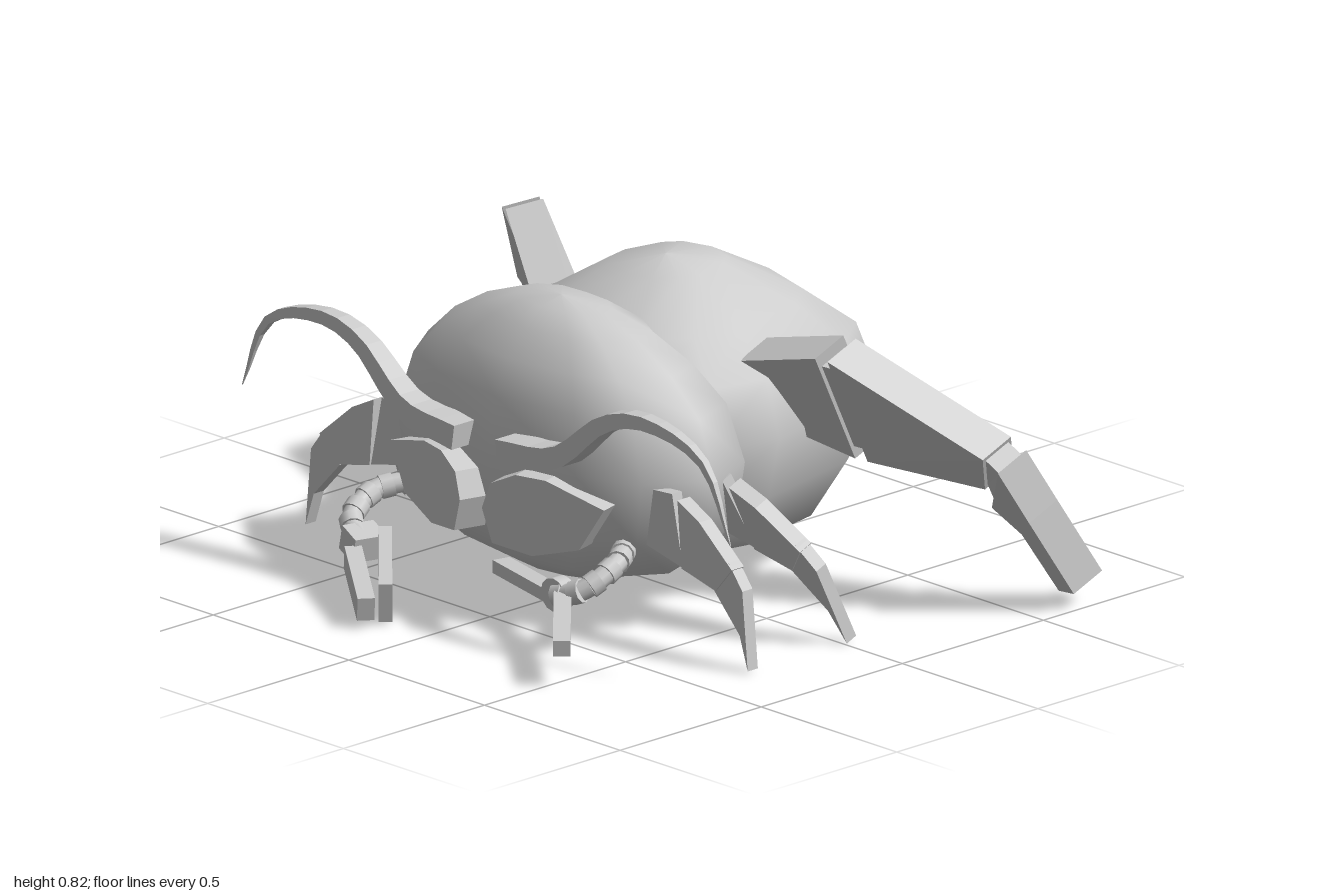
import * as THREE from 'three';

const MID = -0.028; // symmetry axis of the body
const material = new THREE.MeshStandardMaterial({ color: 0xcccccc });
const vec = (p) => new THREE.Vector3(...p);

function add(parent, name, geometry) {
  const mesh = new THREE.Mesh(geometry, material);
  mesh.name = name;
  parent.add(mesh);
  return mesh;
}

function addGroup(parent, name) {
  const group = new THREE.Group();
  group.name = name;
  parent.add(group);
  return group;
}

// Skin a row of equal-length rings, cap both ends and face outward
function loft(rings, smooth = false) {
  const n = rings[0].length;
  const v = rings.flat();
  const idx = [];
  for (let r = 0; r < rings.length - 1; r++) {
    for (let i = 0; i < n; i++) {
      const a = r * n + i, b = r * n + (i + 1) % n;
      idx.push(a, b, b + n, a, b + n, a + n);
    }
  }
  const last = (rings.length - 1) * n;
  for (let i = 1; i < n - 1; i++) idx.push(0, i + 1, i, last, last + i, last + i + 1);
  let volume = 0;
  for (let i = 0; i < idx.length; i += 3) {
    volume += v[idx[i]].dot(v[idx[i + 1]].clone().cross(v[idx[i + 2]]));
  }
  if (volume < 0) idx.reverse();
  let g = new THREE.BufferGeometry().setFromPoints(v);
  g.setIndex(idx);
  if (!smooth) g = g.toNonIndexed();
  g.computeVertexNormals();
  return g;
}

// Body shell: half a plan outline, mirrored, scaled at each [y, scale] level;
// back(scale) flattens the rear
function shell(cz, half, levels, back) {
  const mirrored = half.slice(1, -1).reverse().map(([x, z]) => [-x, z]);
  const outline = [...half, ...mirrored];
  return loft(levels.map(([y, s]) =>
    outline.map(([x, z]) => vec([MID + x * s, y, cz + Math.max(z * s, back(s))]))), true);
}

// Leg cross-section: centre and size, sheared along the leg's down and across directions
function section([x, y, z, size], down, across, spread) {
  return [[-1, 1], [-1, -1], [1, -1], [1, 1]].map(([d, a]) =>
    vec([x, y, z]).addScaledVector(down, d * size / 2).addScaledVector(across, -a / 2)
      .add(vec([-spread * d * Math.sign(x), 0, 0])));
}

// Straight square bar between two points
function bar(parent, name, a, b, w, h) {
  const p = vec(a), q = vec(b);
  const mesh = add(parent, name, new THREE.BoxGeometry(w, h, p.distanceTo(q)));
  mesh.position.copy(p).lerp(q, 0.5);
  mesh.lookAt(q);
}

// Flat plate from a front outline, mirrored by side
function plate(points, side, depth) {
  const shape = new THREE.Shape(points.map(([x, y]) => new THREE.Vector2(x * side, y)));
  const g = new THREE.ExtrudeGeometry(shape, { depth, bevelEnabled: false });
  return g.translate(0, 0, -depth / 2);
}

// Ringed arm along a curve, made of alternating wide and narrow collars
function ringedArm(parent, points) {
  const curve = new THREE.CatmullRomCurve3(points.map(vec));
  const count = 11;
  for (let i = 0; i < count; i++) {
    const a = curve.getPointAt(i / count), b = curve.getPointAt((i + 1) / count);
    const r = i % 2 ? 0.027 : 0.032;
    const mesh = add(parent, 'armRing', new THREE.CylinderGeometry(r, r, a.distanceTo(b) * 1.2, 10));
    mesh.position.copy(a).lerp(b, 0.5);
    mesh.quaternion.setFromUnitVectors(vec([0, 1, 0]), b.clone().sub(a).normalize());
  }
}

// Antenna tapering to a point along a curve
function antenna(curve, side) {
  const rings = [];
  for (let i = 0; i <= 18; i++) {
    const t = i / 18, p = curve.getPointAt(t), d = curve.getTangentAt(t);
    const h = 0.033 * (1 - t) ** 0.8 + 0.001, w = 0.042 * (1 - t) + 0.001;
    rings.push([[1, 1], [1, -1], [-1, -1], [-1, 1]].map(([u, k]) =>
      vec([MID + side * (p.x - d.y * h * u), p.y + d.x * h * u, p.z + w * k])));
  }
  return loft(rings);
}

// Large hind leg: thigh, shin and broad-topped foot with narrow pegs between them
function hindLeg(parent, down, across, sections) {
  const leg = addGroup(parent, 'hindLeg');
  const quads = sections.map((s, i) => section(s, vec(down), vec(across), i === 4 ? 0.055 : 0.03));
  add(leg, 'thigh', loft(quads.slice(0, 2)));
  add(leg, 'shin', loft(quads.slice(2, 4)));
  add(leg, 'foot', loft(quads.slice(4)));
  const shrink = (quad) => {
    const c = quad.reduce((sum, p) => sum.addScaledVector(p, 0.25), vec([0, 0, 0]));
    return quad.map((p) => p.clone().lerp(c, 0.2));
  };
  add(leg, 'knee', loft([shrink(quads[1]), shrink(quads[2])]));
  add(leg, 'ankle', loft([shrink(quads[3]), shrink(quads[4])]));
}

export function createModel() {
  const model = new THREE.Group();
  model.name = 'beetle';

  // Abdomen, and thorax with a flattened back
  add(model, 'abdomen', shell(-0.15,
    [[0, -0.56], [0.28, -0.48], [0.39, -0.33], [0.47, 0.05], [0.43, 0.25], [0.28, 0.44], [0, 0.5]],
    [[0.825, 0], [0.805, 0.29], [0.7, 0.65], [0.6, 0.9], [0.45, 1], [0.28, 0.91], [0.13, 0.73], [0.07, 0.36], [0.055, 0]],
    () => -1));
  add(model, 'thorax', shell(0.22,
    [[0, 0.26], [0.28, 0.22], [0.45, 0.15], [0.555, -0.01], [0.5, -0.17], [0.3, -0.3], [0, -0.32]],
    [[0.8, 0], [0.785, 0.28], [0.74, 0.5], [0.67, 0.72], [0.58, 0.9], [0.43, 1], [0.26, 0.95], [0.14, 0.7], [0.08, 0.32], [0.068, 0]],
    (s) => -0.11 - 0.06 * s));

  const eye = [[0.03, 0.31], [0.055, 0.38], [0.13, 0.415], [0.22, 0.415], [0.395, 0.365], [0.32, 0.245], [0.18, 0.205], [0.06, 0.22]];
  const upperLeg = [[0.4, 0.41], [0.535, 0.42], [0.575, 0.23], [0.4, 0.27]];
  const lowerLeg = [[0.56, 0.41], [0.64, 0.37], [0.76, 0.27], [0.7, 0.2], [0.575, 0.23]];
  const foot = [[0.745, 0.285], [0.795, 0.22], [0.815, 0.01], [0.785, 0.1], [0.69, 0.2]];
  const feeler = new THREE.CatmullRomCurve3(
    [[0.08, 0.465], [0.28, 0.495], [0.46, 0.63], [0.6, 0.66], [0.8, 0.6], [0.9, 0.4]].map(([x, y]) => vec([x, y, 0.485])));

  for (const side of [1, -1]) {
    // Eye plates, turned to follow the face
    const eyePlate = add(model, 'eye', plate(eye, side, 0.09));
    eyePlate.position.set(MID, 0, 0.505);
    eyePlate.rotation.y = side * 0.26;

    add(model, 'antenna', antenna(feeler, side));

    // Two pairs of flat walking legs, the second leaning back
    for (const [z, lean] of [[0.325, 0], [0.14, 0.4]]) {
      const leg = addGroup(model, 'walkingLeg');
      add(leg, 'upperLeg', plate(upperLeg, side, 0.034));
      add(leg, 'lowerLeg', plate(lowerLeg, side, 0.044));
      add(leg, 'foot', plate(foot, side, 0.036));
      for (const part of leg.children) part.position.y = -0.4;
      leg.position.set(MID, 0.4, z);
      leg.rotation.x = lean;
      leg.scale.y = 1 / Math.cos(lean);
    }
  }

  // Hind legs, the right one swung further back: x, y, z and size from hip to tip
  hindLeg(model, [0, -0.33, -0.2], [0, 0.04, -0.1], [
    [0.3, 0.57, -0.17, 0.55], [0.56, 0.56, -0.235, 1],
    [0.59, 0.555, -0.25, 1], [0.895, 0.415, -0.44, 0.33],
    [0.92, 0.375, -0.455, 0.42], [0.96, 0.265, -0.525, 0.16], [0.97, 0.065, -0.66, 0.02]]);
  hindLeg(model, [0, -0.355, -0.13], [0.05, 0.02, -0.085], [
    [-0.36, 0.57, -0.12, 0.55], [-0.665, 0.585, -0.355, 1],
    [-0.695, 0.58, -0.37, 1], [-0.91, 0.42, -0.58, 0.2],
    [-0.92, 0.38, -0.625, 0.4], [-0.94, 0.255, -0.69, 0.16], [-0.92, 0.065, -0.78, 0.02]]);

  // Left pincer, held wide open
  const left = addGroup(model, 'leftPincer');
  ringedArm(left, [[0.36, 0.24, 0.37], [0.41, 0.23, 0.45], [0.39, 0.18, 0.54], [0.31, 0.15, 0.56]]);
  bar(left, 'outerFinger', [0.31, 0.155, 0.54], [0.54, 0.11, 0.765], 0.045, 0.045);
  bar(left, 'innerFinger', [0.33, 0.138, 0.55], [0.01, 0.138, 0.47], 0.05, 0.035);
  const joint = add(left, 'pincerJoint', new THREE.CylinderGeometry(0.045, 0.045, 0.04, 12));
  joint.rotation.x = Math.PI / 2;
  joint.position.set(0.305, 0.152, 0.55);

  // Right pincer, two fingers meeting at the tip
  const right = addGroup(model, 'rightPincer');
  ringedArm(right, [[-0.42, 0.24, 0.37], [-0.47, 0.22, 0.46], [-0.45, 0.17, 0.56], [-0.38, 0.14, 0.59]]);
  bar(right, 'upperFinger', [-0.34, 0.125, 0.545], [-0.13, 0.065, 0.745], 0.035, 0.11);
  bar(right, 'lowerFinger', [-0.36, 0.11, 0.64], [-0.15, 0.055, 0.795], 0.045, 0.065);
  bar(right, 'pincerJoint', [-0.41, 0.145, 0.58], [-0.34, 0.125, 0.6], 0.09, 0.07);

  return model;
}
